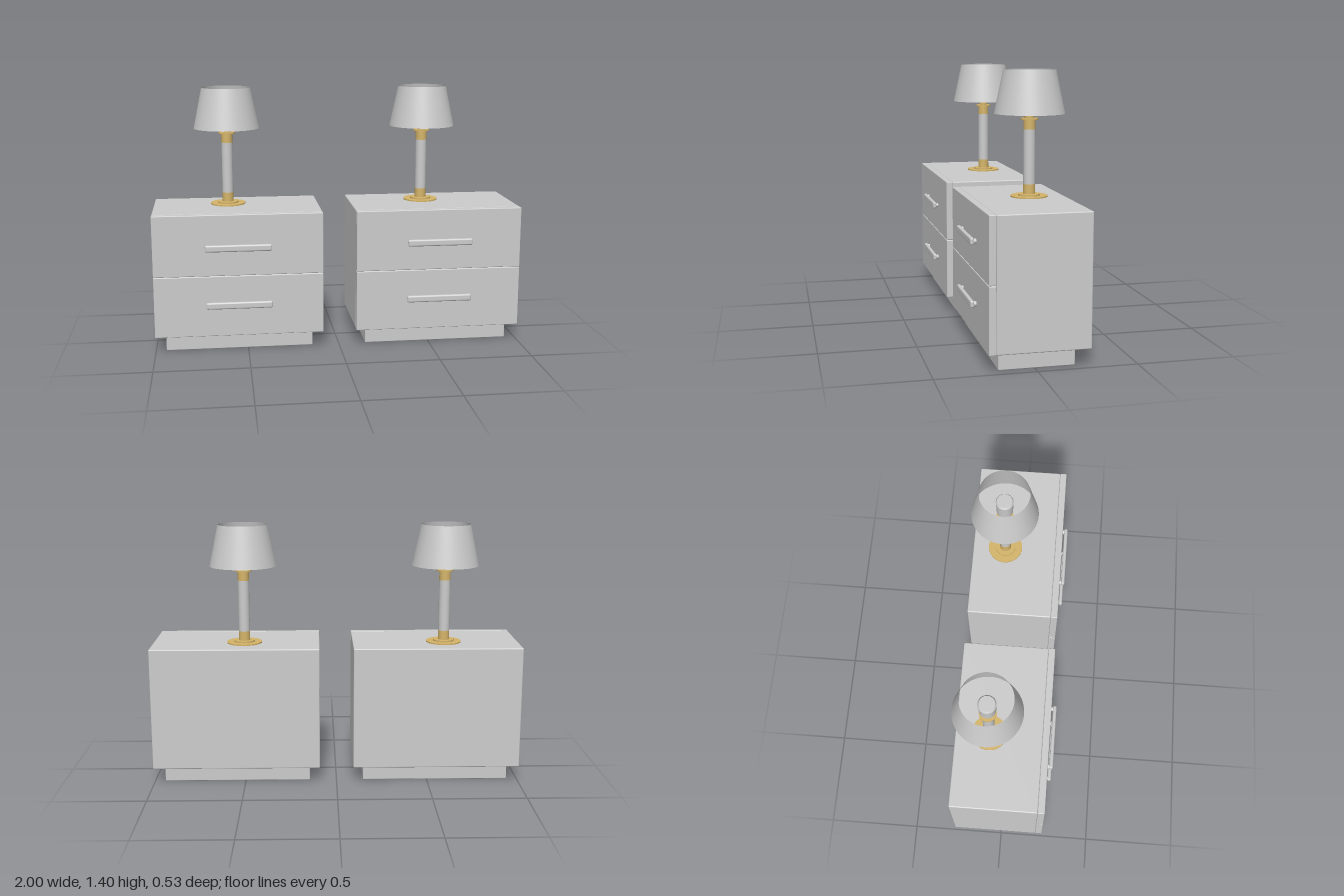
import * as THREE from 'three';
import { RoundedBoxGeometry } from 'three/addons/geometries/RoundedBoxGeometry.js';

const grey = new THREE.MeshStandardMaterial({ color: 0xcccccc });
const thinGrey = new THREE.MeshStandardMaterial({ color: 0xcccccc, side: THREE.DoubleSide });
const gold = new THREE.MeshStandardMaterial({ color: 0xd4b469 });

function add(parent, name, geometry, material, x = 0, y = 0, z = 0) {
  const mesh = new THREE.Mesh(geometry, material);
  mesh.name = name;
  mesh.position.set(x, y, z);
  parent.add(mesh);
  return mesh;
}

// Softly rounded box given by its lower and upper y and back and front z
function block(parent, name, width, y0, y1, z0, z1, radius) {
  const geometry = new RoundedBoxGeometry(width, y1 - y0, z1 - z0, 3, radius);
  return add(parent, name, geometry, grey, 0, (y0 + y1) / 2, (z0 + z1) / 2);
}

// Upright cylinder between two heights
function disc(parent, name, radius, y0, y1, material) {
  const geometry = new THREE.CylinderGeometry(radius, radius, y1 - y0, 40);
  return add(parent, name, geometry, material, 0, (y0 + y1) / 2, 0);
}

function createHandle() {
  const handle = new THREE.Group();
  handle.name = 'handle';
  add(handle, 'handleBar', new RoundedBoxGeometry(0.355, 0.037, 0.02, 3, 0.009), grey, 0, 0, 0.257);
  for (const side of [-1, 1]) {
    const post = new THREE.CylinderGeometry(0.013, 0.013, 0.03, 20);
    post.rotateX(Math.PI / 2);
    add(handle, 'handlePost', post, grey, side * 0.162, 0, 0.24);
  }
  return handle;
}

function createNightstand() {
  const stand = new THREE.Group();
  stand.name = 'nightstand';
  block(stand, 'plinth', 0.797, 0, 0.1, -0.2, 0.179, 0.004);
  block(stand, 'cabinetBody', 0.909, 0.091, 0.757, -0.267, 0.199, 0.006);
  // Two drawer fronts, each with its handle
  const drawers = [[0.091, 0.423, 0.266], [0.425, 0.757, 0.58]];
  for (const [y0, y1, handleY] of drawers) {
    block(stand, 'drawerFront', 0.909, y0, y1, 0.199, 0.236, 0.004);
    const handle = createHandle();
    handle.position.y = handleY;
    stand.add(handle);
  }
  return stand;
}

function createLamp() {
  const lamp = new THREE.Group();
  lamp.name = 'lamp';
  // Stepped base, stem and collar
  disc(lamp, 'basePlate', 0.095, 0.756, 0.764, gold);
  disc(lamp, 'baseStep', 0.057, 0.764, 0.772, gold);
  disc(lamp, 'lowerBand', 0.0305, 0.772, 0.822, gold);
  disc(lamp, 'stem', 0.03, 0.822, 1.1, grey);
  disc(lamp, 'upperBand', 0.0305, 1.1, 1.15, gold);
  disc(lamp, 'collar', 0.045, 1.149, 1.157, gold);
  disc(lamp, 'neck', 0.024, 1.157, 1.215, gold);
  // Bulb holder with a chamfered top
  const holder = [[0, 1.21], [0.043, 1.21], [0.043, 1.21], [0.047, 1.31], [0.047, 1.31], [0.04, 1.32], [0.04, 1.32], [0, 1.32]];
  add(lamp, 'bulbHolder', new THREE.LatheGeometry(holder.map(([r, y]) => new THREE.Vector2(r, y)), 32), grey);
  // Open tapered shade
  add(lamp, 'shade', new THREE.CylinderGeometry(0.133, 0.18, 0.222, 56, 1, true), thinGrey, 0, 1.291, 0);
  return lamp;
}

export function createModel() {
  const model = new THREE.Group();
  model.name = 'nightstandsWithLamps';
  for (const side of [-1, 1]) {
    const set = new THREE.Group();
    set.name = side < 0 ? 'rightSet' : 'leftSet';
    set.position.x = side * 0.5455;
    const lamp = createLamp();
    lamp.position.set(-0.045, 0, -0.085);
    set.add(createNightstand(), lamp);
    model.add(set);
  }
  return model;
}
